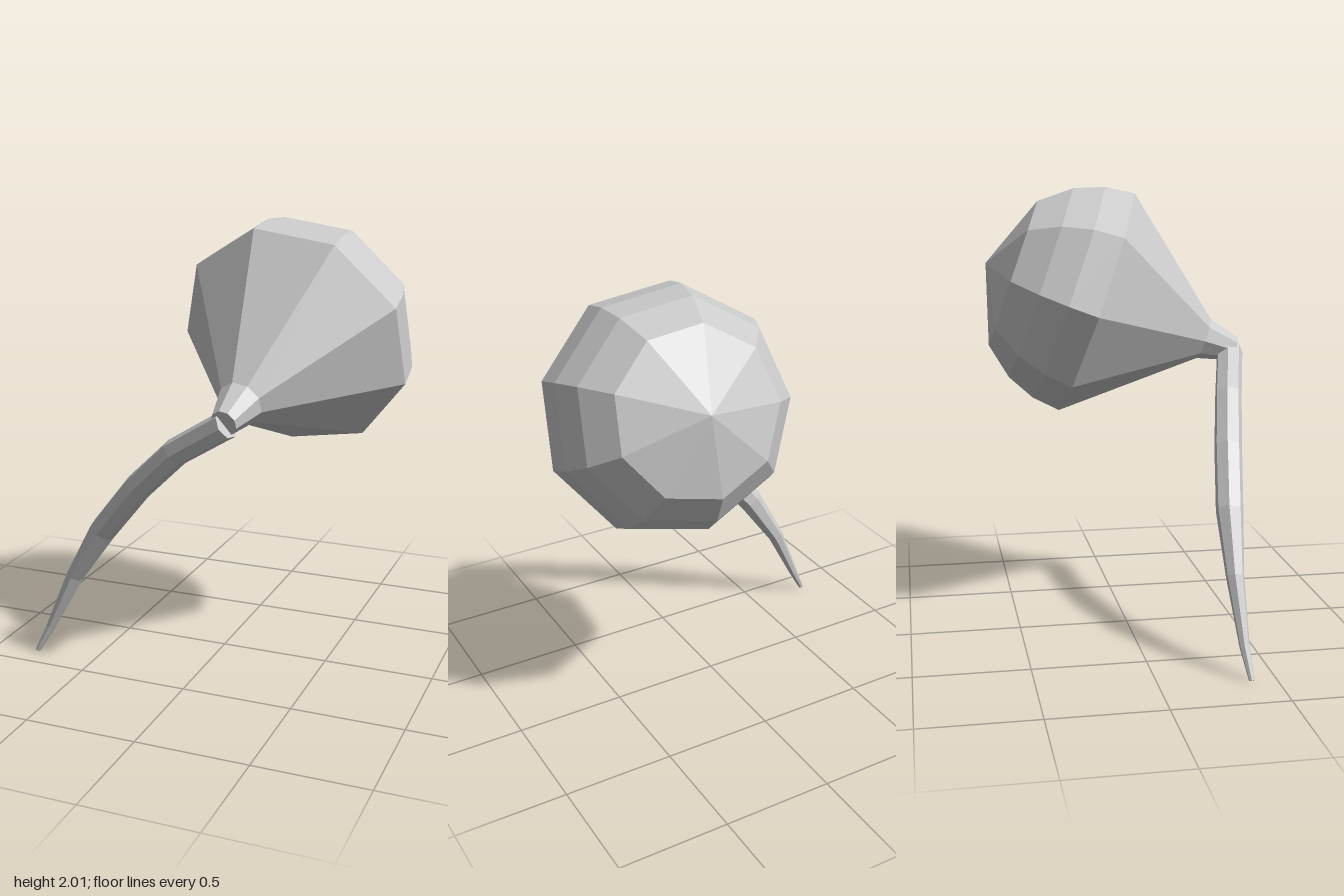
import * as THREE from 'three';

const material = new THREE.MeshStandardMaterial({ color: 0xcccccc, flatShading: true });

function flatMesh(geometry, name) {
  const flat = geometry.toNonIndexed();
  flat.computeVertexNormals();
  const mesh = new THREE.Mesh(flat, material);
  mesh.name = name;
  return mesh;
}

// Faceted tube through centres [x, y, z, radius], closed at both ends
function taperedTube(sections, sides) {
  const centres = sections.map(([x, y, z]) => new THREE.Vector3(x, y, z));
  const last = centres.length - 1;
  const rings = [[0, 0], ...sections.map((s, i) => [i, s[3]]), [last, 0]];
  const positions = [];
  const index = [];
  for (const [i, radius] of rings) {
    const tangent = centres[Math.min(i + 1, last)].clone().sub(centres[Math.max(i - 1, 0)]).normalize();
    const a = new THREE.Vector3(0, 0, 1);
    a.addScaledVector(tangent, -a.dot(tangent)).normalize();
    const b = tangent.clone().cross(a);
    for (let j = 0; j < sides; j++) {
      const angle = (j / sides) * Math.PI * 2;
      const p = centres[i].clone()
        .addScaledVector(a, radius * Math.cos(angle))
        .addScaledVector(b, radius * Math.sin(angle));
      positions.push(p.x, p.y, p.z);
    }
  }
  for (let i = 0; i < rings.length - 1; i++) {
    for (let j = 0; j < sides; j++) {
      const k = (j + 1) % sides;
      const p = i * sides + j, q = i * sides + k;
      if (rings[i][1] > 0) index.push(p, q, p + sides);
      if (rings[i + 1][1] > 0) index.push(q, q + sides, p + sides);
    }
  }
  const geometry = new THREE.BufferGeometry();
  geometry.setAttribute('position', new THREE.Float32BufferAttribute(positions, 3));
  geometry.setIndex(index);
  return geometry;
}

export function createModel() {
  const group = new THREE.Group();
  group.name = 'bulbWithTail';

  // Bulb: nine-sided dome at the back, cone and short neck towards the front
  const R = 0.54;
  const profile = [];
  for (let i = 0; i <= 4; i++) {
    const t = -R * (1 - i / 4);
    profile.push(new THREE.Vector2(Math.sqrt(Math.max(0, R * R - t * t)), t));
  }
  profile.push(new THREE.Vector2(0.1, 0.54), new THREE.Vector2(0.058, 0.695), new THREE.Vector2(0, 0.695));
  const bulb = flatMesh(new THREE.LatheGeometry(profile, 9), 'bulb');

  // Tilt the bulb so its neck points forward and down
  const axis = new THREE.Vector3(-0.105, -0.333, 0.937).normalize();
  const corner = new THREE.Vector3(-0.127, 0.499, 0.161);
  corner.addScaledVector(axis, -corner.dot(axis)).normalize();
  const side = axis.clone().cross(corner);
  bulb.quaternion.setFromRotationMatrix(new THREE.Matrix4().makeBasis(side, axis, corner));
  bulb.position.set(0.287, 1.481, -0.097);
  group.add(bulb);

  // Tail: curved, tapering strand hanging from the neck
  const tail = taperedTube([
    [0.22, 1.24, 0.535, 0.062],
    [-0.04, 1.075, 0.465, 0.062],
    [-0.245, 0.88, 0.415, 0.063],
    [-0.44, 0.645, 0.375, 0.061],
    [-0.595, 0.4, 0.363, 0.04],
    [-0.725, 0.13, 0.375, 0.022],
    [-0.79, 0.007, 0.39, 0.012],
  ], 7);
  group.add(flatMesh(tail, 'tail'));

  return group;
}
